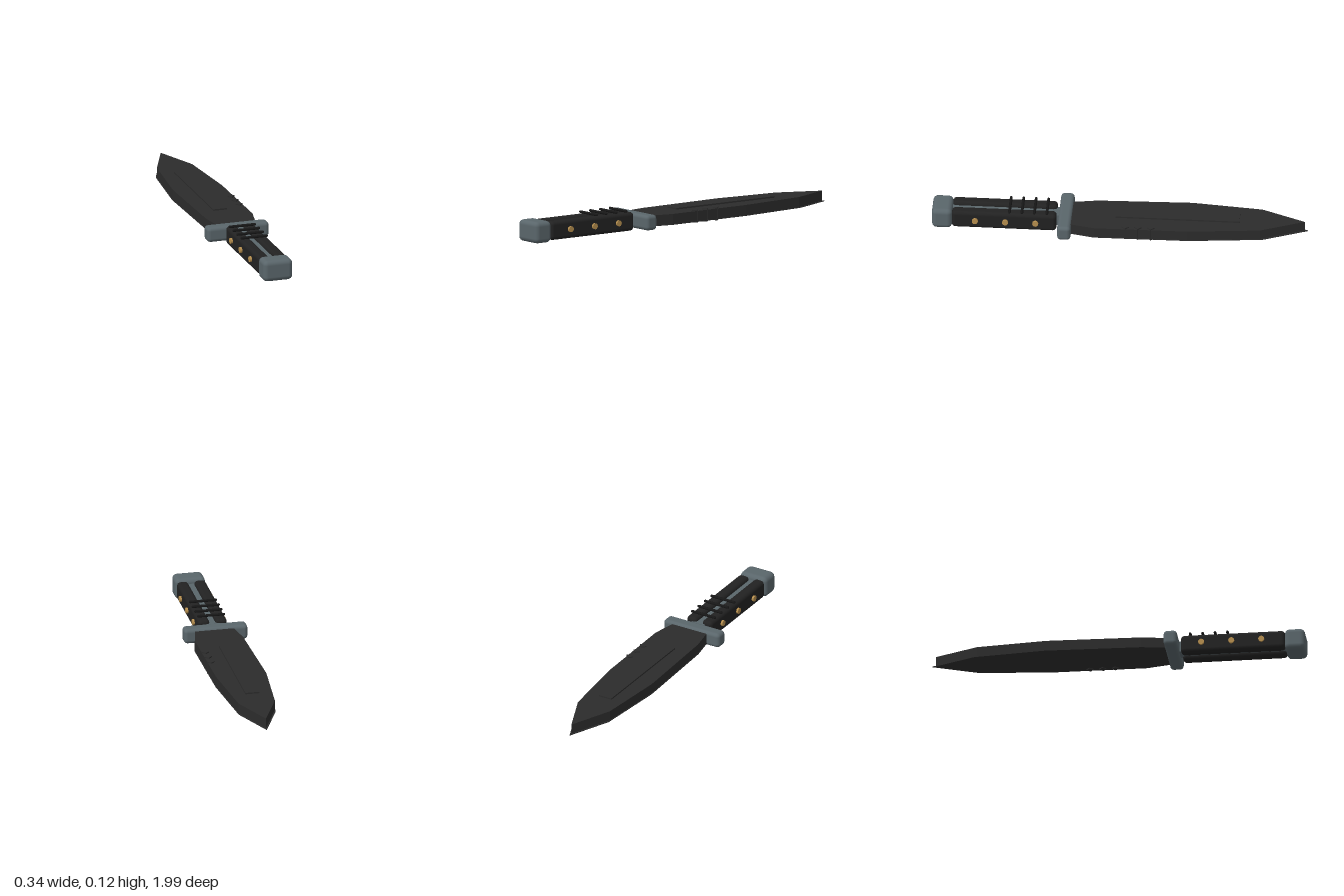
import * as THREE from 'three';
import { RoundedBoxGeometry } from 'three/addons/geometries/RoundedBoxGeometry.js';

const material = (name, color) => {
  const m = new THREE.MeshStandardMaterial({ color });
  m.name = name;
  return m;
};

export function createModel() {
  const model = new THREE.Group();
  model.name = 'knife';
  const blackSteel = material('blackened steel', 0x2c2c2c);
  const greySteel = material('grey steel', 0x5a666b);
  const grip = material('dark grip', 0x222222);
  const cord = material('black cord', 0x171717);
  const brass = material('brass', 0xb8904f);

  const add = (name, geometry, mat, x = 0, y = 0, z = 0) => {
    const mesh = new THREE.Mesh(geometry, mat);
    mesh.name = name;
    mesh.position.set(x, y, z);
    model.add(mesh);
    return mesh;
  };
  const rounded = (w, h, d, r) => new RoundedBoxGeometry(w, h, d, 2, r);

  // Blade outline as x, z pairs, extruded upward
  const outline = [
    [-0.095, 0.27], [0.115, 0.27], [0.145, 0.13], [0.14, -0.37],
    [0.1, -0.76], [0, -0.995], [-0.1, -0.76], [-0.136, -0.38], [-0.12, 0.13],
  ];
  const slab = (scale, height) => {
    const points = outline.map(([x, z]) => new THREE.Vector2(x * scale, z > 0.2 ? -z : -z * scale));
    const geometry = new THREE.ExtrudeGeometry(new THREE.Shape(points), { depth: height, bevelEnabled: false });
    return geometry.rotateX(-Math.PI / 2);
  };
  add('blade', slab(0.982, 0.056), blackSteel, 0, 0.032, 0);
  add('cuttingEdge', slab(1, 0.004), blackSteel, 0, 0.03, 0);
  add('bladePanel', new THREE.BoxGeometry(0.076, 0.012, 0.655), blackSteel, -0.002, 0.09, -0.305);

  // Small teeth through the side of the blade
  for (const z of [-0.035, -0.102, -0.17]) {
    const tooth = add('tooth', new THREE.BoxGeometry(0.028, 0.069, 0.028), blackSteel, 0.122, 0.0595, z);
    tooth.rotation.y = Math.PI / 4;
  }

  // Guard, tang and pommel
  add('guard', rounded(0.344, 0.082, 0.072, 0.02), greySteel, 0, 0.059, 0.289);
  add('tang', new THREE.BoxGeometry(0.08, 0.06, 0.6), greySteel, 0, 0.06, 0.6);
  add('pommel', rounded(0.164, 0.116, 0.108, 0.026), greySteel, 0, 0.059, 0.941);

  // Grip scales with brass rivets
  for (const side of [-1, 1]) {
    add('gripScale', rounded(0.062, 0.1, 0.555, 0.02), grip, side * 0.047, 0.06, 0.612);
    for (const z of [0.445, 0.605, 0.765]) {
      const rivet = add('rivet', new THREE.CylinderGeometry(0.016, 0.016, 0.02, 12), brass, side * 0.079, 0.061, z);
      rivet.rotation.z = Math.PI / 2;
    }
  }

  // Cord bars across the top of the grip
  for (const z of [0.385, 0.451, 0.517, 0.583]) {
    const bar = add('cordBar', new THREE.CapsuleGeometry(0.0075, 0.138, 3, 8), cord, 0, 0.118, z);
    bar.rotation.z = Math.PI / 2;
  }
  return model;
}
